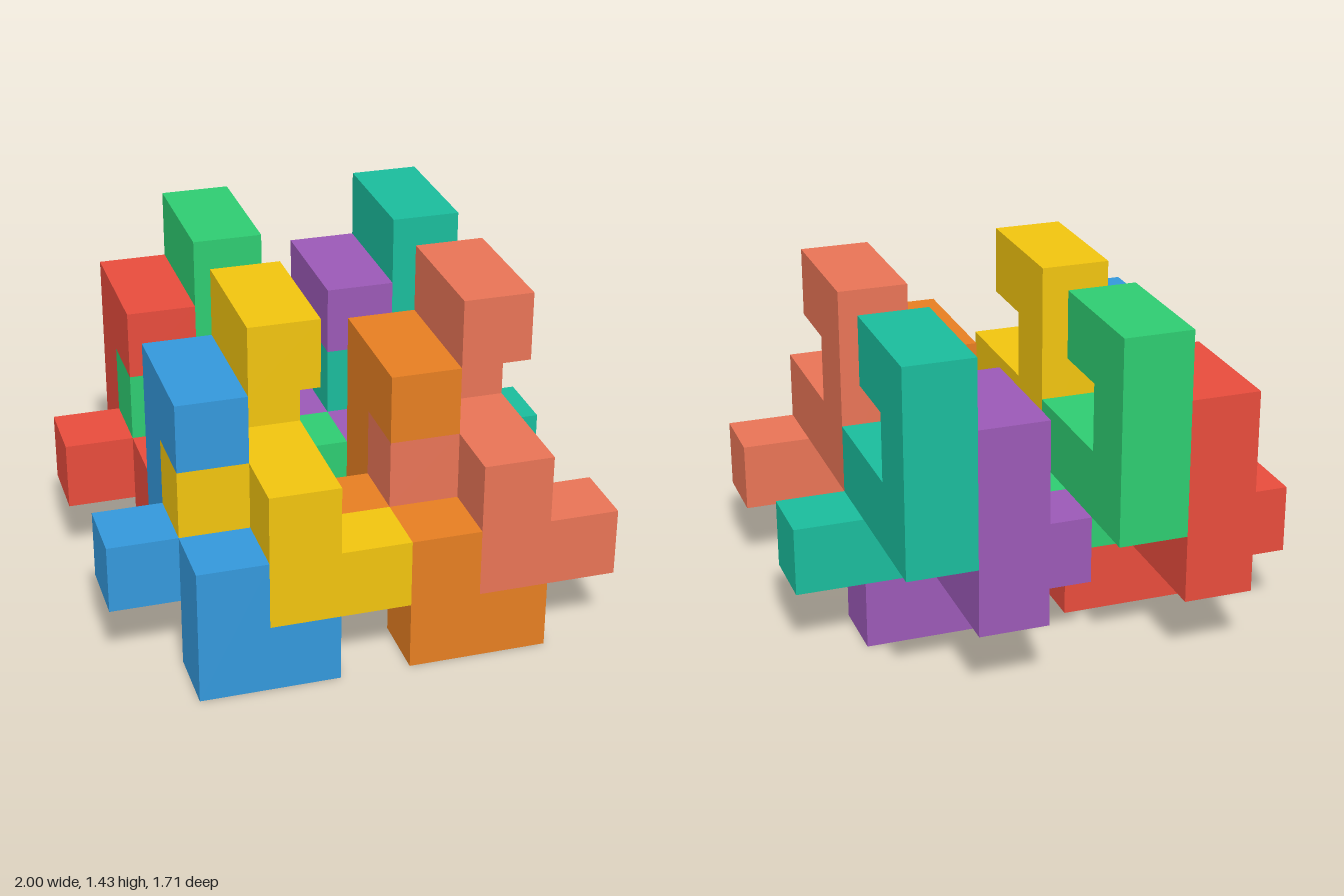
import * as THREE from 'three';

const U = 2 / 7; // edge of one unit cube

// Hooked slab outline as [z, y] in cube units
const PROFILE = [[0, 1], [2, 1], [2, 0], [3, 0], [3, 2], [1, 2], [1, 3], [2, 3], [2, 4], [0, 4]];

function slabGeometry() {
  const shape = new THREE.Shape(PROFILE.map(([z, y]) => new THREE.Vector2(z * U, y * U)));
  const g = new THREE.ExtrudeGeometry(shape, { depth: U, bevelEnabled: false });
  return g.rotateY(-Math.PI / 2).translate(2 * U, 0, 0); // outline into the z-y plane, x from 1 to 2
}

// Unit cube occupying cell (x, y, z)
function cellGeometry(x, y, z) {
  return new THREE.BoxGeometry(U, U, U).translate((x + 0.5) * U, (y + 0.5) * U, (z + 0.5) * U);
}

// Each piece: hooked slab, a knob on its right side and a foot on its left side
const PARTS = [
  ['hookedSlab', slabGeometry()],
  ['sideKnob', cellGeometry(0, 1, 1)],
  ['frontFoot', cellGeometry(2, 0, 2)],
];

function createPiece(name, color) {
  const piece = new THREE.Group();
  piece.name = name;
  const material = new THREE.MeshStandardMaterial({ color });
  for (const [partName, geometry] of PARTS) {
    const mesh = new THREE.Mesh(geometry, material);
    mesh.name = partName;
    piece.add(mesh);
  }
  return piece;
}

// Rows of interlocking pieces, back to front, each listed from -x to +x
const ROWS = [
  [['redPiece', 0xe74c3c], ['greenPiece', 0x2ecc71], ['purplePiece', 0x9b59b6], ['tealPiece', 0x1abc9c]],
  [['bluePiece', 0x3498db], ['yellowPiece', 0xf1c40f], ['orangePiece', 0xe67e22], ['coralPiece', 0xe87456]],
];

export function createModel() {
  const model = new THREE.Group();
  model.name = 'interlockingPuzzle';
  ROWS.forEach((row, j) => row.forEach(([name, color], i) => {
    const piece = createPiece(name, color);
    const step = i % 2; // second piece of a pair sits one cube over and one cube up
    const pair = Math.floor(i / 2);
    piece.position.set((3 * pair + step - 3.5) * U, step * U, (3 * j - 3) * U);
    model.add(piece);
  }));
  return model;
}
